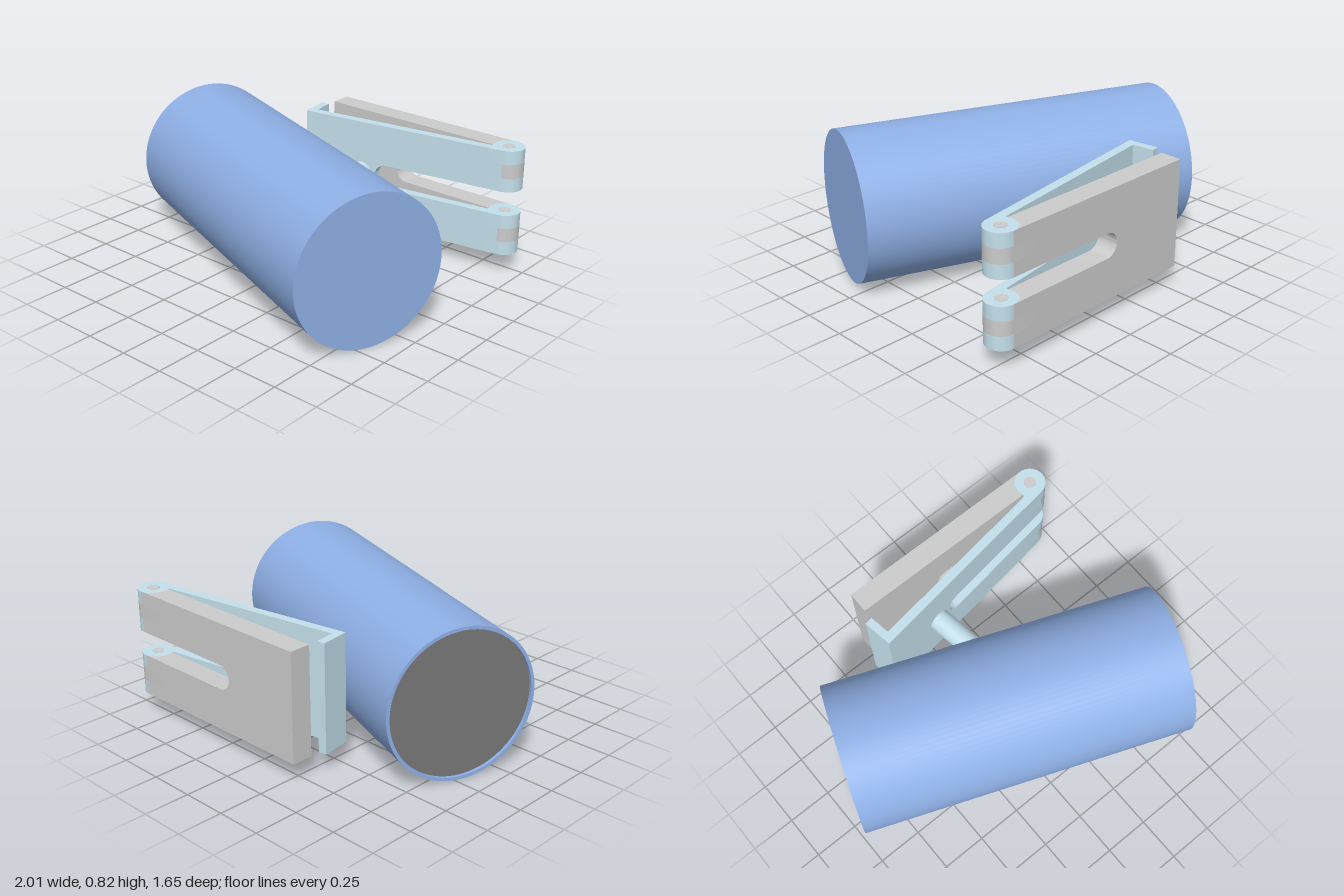
import * as THREE from 'three';
import { toCreasedNormals } from 'three/addons/utils/BufferGeometryUtils.js';

const MID = 0.41;    // height of the middle plane
const R = 0.085;     // hinge knuckle radius
const HALF = 0.3;    // half height of the plates
const SLOT = 0.068;  // half height of the slots
const JOIN = -0.17;  // where plates meet their fork ends
const INNER = 0.035; // plane where the two leaves meet at the hinge
const CUT = Math.asin(INNER / R);

const grey = new THREE.MeshStandardMaterial({ color: 0xcccccc });
const paleBlue = new THREE.MeshStandardMaterial({ color: 0xc4e0ec });
const blue = new THREE.MeshStandardMaterial({ color: 0x8fb0e6 });
const dark = new THREE.MeshStandardMaterial({ color: 0x777777 });

function add(parent, name, geometry, material, x = 0, y = 0, z = 0) {
  const mesh = new THREE.Mesh(geometry, material);
  mesh.name = name;
  mesh.position.set(x, y, z);
  parent.add(mesh);
  return mesh;
}

function extrude(shape, depth) {
  const g = new THREE.ExtrudeGeometry(shape, { depth, bevelEnabled: false, curveSegments: 24 });
  return toCreasedNormals(g, 0.5);
}

// Plate standing in x/y with a round-ended slot open towards the hinge
function slottedPlate(left, slotEnd, thickness) {
  const s = new THREE.Shape();
  s.moveTo(left, -HALF);
  s.lineTo(JOIN, -HALF);
  s.lineTo(JOIN, -SLOT);
  s.lineTo(slotEnd + SLOT, -SLOT);
  s.absarc(slotEnd + SLOT, 0, SLOT, -Math.PI / 2, Math.PI / 2, true);
  s.lineTo(JOIN, SLOT);
  s.lineTo(JOIN, HALF);
  s.lineTo(left, HALF);
  return extrude(s, thickness);
}

// Fork profiles seen from above (shape y is -z): with a knuckle or hollowed for the other one
function greyProfile(knuckle) {
  const s = new THREE.Shape();
  s.moveTo(JOIN, R);
  s.lineTo(0, R);
  s.absarc(0, 0, R, Math.PI / 2, knuckle ? -Math.PI + CUT : Math.PI + CUT, knuckle);
  s.lineTo(JOIN, -INNER);
  return s;
}

function blueProfile(knuckle) {
  const s = new THREE.Shape();
  s.moveTo(JOIN, -R);
  s.lineTo(0, -R);
  if (knuckle) {
    s.absarc(0, 0, R, -Math.PI / 2, Math.PI, false);
    s.lineTo(-R, -INNER);
  } else {
    s.absarc(0, 0, R, -Math.PI / 2, -Math.PI + CUT, true);
  }
  s.lineTo(JOIN, -INNER);
  return s;
}

// Two forks, each stacked from three layers; the middle layer belongs to the grey leaf
function addForks(parent, name, profile, material, middleKnuckle) {
  const levels = [0, 0.076, 0.156, HALF - SLOT];
  for (const base of [-HALF, SLOT]) {
    for (let i = 0; i < 3; i++) {
      const knuckle = (i === 1) === middleKnuckle;
      const g = extrude(profile(knuckle), levels[i + 1] - levels[i]);
      g.rotateX(-Math.PI / 2);
      add(parent, name, g, material, 0, base + levels[i], 0);
    }
  }
}

export function createModel() {
  const model = new THREE.Group();

  // Large drum with a shallow recess in one end
  const drum = new THREE.Group();
  drum.name = 'drum';
  drum.position.set(0, MID - 0.002, 0.11);
  drum.rotation.y = -0.371;
  model.add(drum);
  const profile = [[0.39, -0.89], [0.39, -0.917], [0.408, -0.917], [0.408, 0.917], [0, 0.917]]
    .map(([r, y]) => new THREE.Vector2(r, y));
  const shell = add(drum, 'drumShell', toCreasedNormals(new THREE.LatheGeometry(profile, 96), 0.5), blue);
  shell.rotation.z = -Math.PI / 2;
  const disc = add(drum, 'recessedDisc', new THREE.CylinderGeometry(0.39, 0.39, 0.02, 96), dark, -0.89);
  disc.rotation.z = -Math.PI / 2;

  // Fixed hinge leaf
  const hinge = new THREE.Group();
  hinge.name = 'hinge';
  hinge.position.set(0.867, MID, -0.74);
  model.add(hinge);
  add(hinge, 'mountingPlate', slottedPlate(-1.167, -0.7, R + INNER), grey, 0, 0, -R);
  addForks(hinge, 'mountingFork', greyProfile, grey, true);
  for (const side of [-1, 1]) {
    add(hinge, 'hingePin', new THREE.CylinderGeometry(0.034, 0.034, HALF - SLOT + 0.003, 12), grey,
      0, side * (HALF + SLOT) / 2, 0);
  }

  // Swinging leaf with an end lip
  const leaf = new THREE.Group();
  leaf.name = 'swingLeaf';
  leaf.rotation.y = 0.149;
  hinge.add(leaf);
  add(leaf, 'swingPlate', slottedPlate(-1.21, -0.757, R - INNER), paleBlue, 0, 0, INNER);
  addForks(leaf, 'swingFork', blueProfile, paleBlue, false);
  add(leaf, 'endLip', new THREE.BoxGeometry(0.045, 2 * HALF, 0.12), paleBlue, -1.1875, 0, -0.025);

  // Stem from the swinging leaf to the drum, ending in a split collar
  const stem = new THREE.Group();
  stem.name = 'stem';
  stem.position.set(-0.846, 0, 0.2);
  stem.rotation.x = Math.PI / 2;
  leaf.add(stem);
  add(stem, 'stemRod', new THREE.CylinderGeometry(0.063, 0.063, 0.24, 48), paleBlue);
  add(stem, 'stemNeck', new THREE.CylinderGeometry(0.037, 0.037, 0.05, 32), paleBlue, 0, 0.14, 0);
  for (let i = 0; i < 6; i++) {
    const a = i * Math.PI / 3;
    const tab = add(stem, 'collarTab', new THREE.BoxGeometry(0.024, 0.04, 0.026), paleBlue,
      0.038 * Math.cos(a), 0.138, 0.038 * Math.sin(a));
    tab.rotation.y = -a;
  }

  return model;
}
